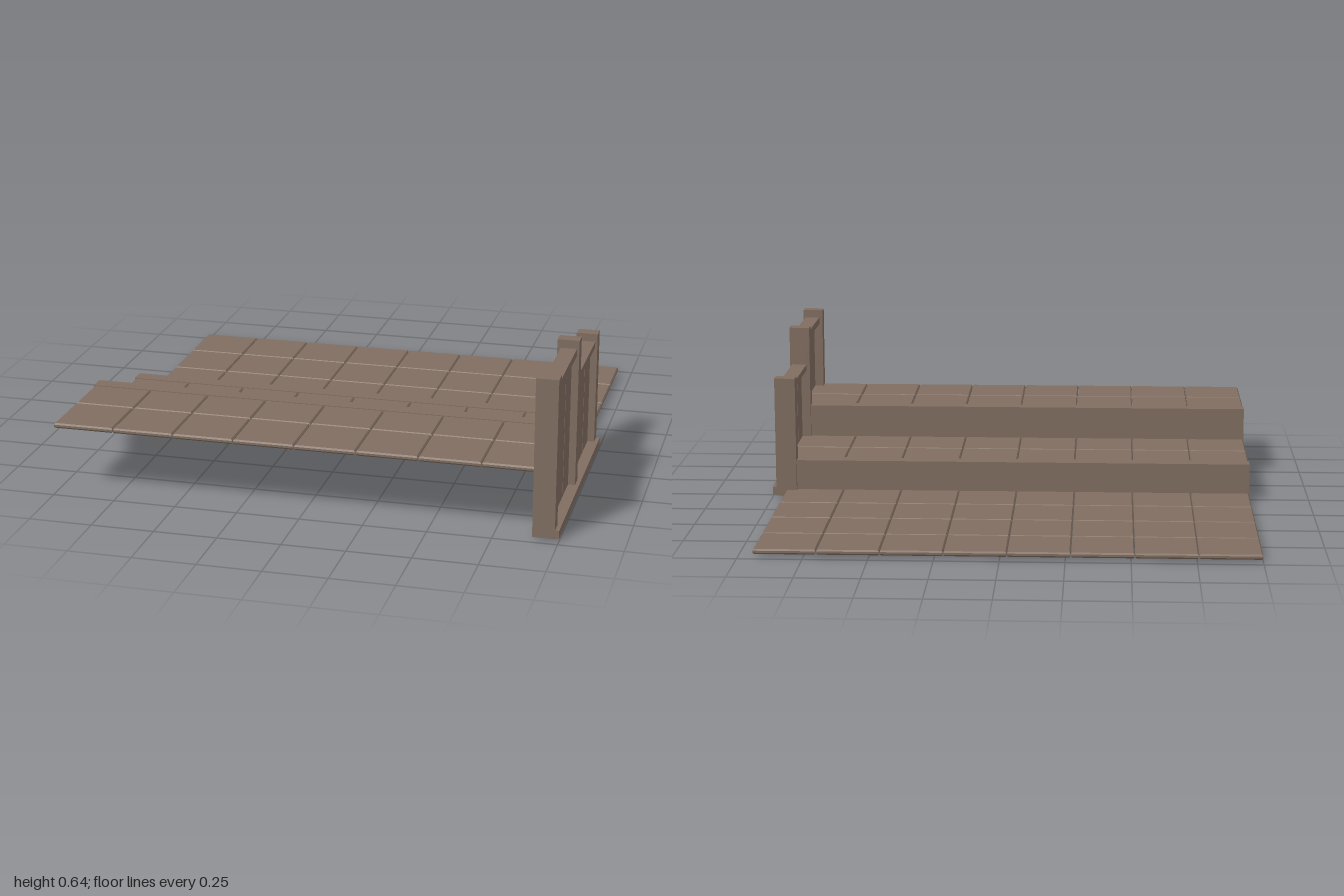
import * as THREE from 'three';

const wood = new THREE.MeshStandardMaterial({ color: 0x806d60 });
wood.name = 'brown wood';

// Box given by its min and max corners
function box(parent, name, x0, x1, y0, y1, z0, z1) {
  const mesh = new THREE.Mesh(new THREE.BoxGeometry(x1 - x0, y1 - y0, z1 - z0), wood);
  mesh.position.set((x0 + x1) / 2, (y0 + y1) / 2, (z0 + z1) / 2);
  mesh.name = name;
  parent.add(mesh);
}

// Floor tile with narrow chamfers above and below, leaving grooves between neighbours
function tileGeometry(w, h, d) {
  const inset = 0.005, chamfer = 0.006;
  const geo = new THREE.BoxGeometry(w, h, d, 1, 3, 1).toNonIndexed();
  const p = geo.attributes.position;
  for (let i = 0; i < p.count; i++) {
    const y = p.getY(i);
    if (Math.abs(y) > h * 0.4) {
      p.setX(i, p.getX(i) - Math.sign(p.getX(i)) * inset);
      p.setZ(i, p.getZ(i) - Math.sign(p.getZ(i)) * inset);
    } else {
      p.setY(i, Math.sign(y) * (h / 2 - chamfer));
    }
  }
  geo.computeVertexNormals();
  return geo;
}

const X0 = -1, X1 = 0.943, Z0 = -0.974, PITCH = 0.2429, THICK = 0.02;

export function createModel() {
  const model = new THREE.Group();
  model.name = 'steppedDeck';

  // Three tiled levels, rising toward the front
  const tile = tileGeometry(PITCH - 0.002, THICK, PITCH - 0.002);
  const levels = [
    { name: 'lowerFloor', rows: [0, 1, 2, 3], top: 0.031 },
    { name: 'middleFloor', rows: [4, 5], top: 0.154 },
    { name: 'upperFloor', rows: [6, 7], top: 0.288 },
  ];
  for (const { name, rows, top } of levels) {
    const floor = new THREE.Group();
    floor.name = name;
    for (const row of rows) {
      for (let col = 0; col < 8; col++) {
        const mesh = new THREE.Mesh(tile, wood);
        mesh.name = 'tile';
        mesh.position.set(X0 + (col + 0.5) * PITCH, top - THICK / 2, Z0 + (row + 0.5) * PITCH);
        floor.add(mesh);
      }
    }
    model.add(floor);
  }

  // Step edges: a tread strip on top of a thin riser
  for (const [z, bottom, top] of [[-0.025, 0, 0.157], [0.457, 0.13, 0.291]]) {
    const step = new THREE.Group();
    step.name = 'stepEdge';
    box(step, 'nosing', X0, X1, top - 0.025, top, z, z + 0.063);
    box(step, 'riser', X0, X1, bottom, top - 0.025, z + 0.004, z + 0.03);
    model.add(step);
  }

  // Side fence: posts, rails and upright boards
  const fence = new THREE.Group();
  fence.name = 'fence';
  for (const [z, top] of [[0.942, 0.638], [0.476, 0.638], [-0.011, 0.508]]) {
    box(fence, 'post', 0.898, 0.984, 0.008, top, z - 0.027, z + 0.027);
  }
  box(fence, 'bottomRail', 0.935, 1, 0.01, 0.043, -0.036, 0.968);
  for (const [z0, z1, y0, y1] of [[0.503, 0.915, 0.575, 0.605], [0.016, 0.449, 0.45, 0.476]]) {
    box(fence, 'topRail', 0.912, 0.975, y0, y1, z0, z1);
    const step = (z1 - z0 + 0.05) / 3, start = z0 - 0.025;
    for (let i = 0; i < 3; i++) {
      box(fence, 'board', 0.936, 0.956, 0.04, y0, start + i * step + 0.004, start + (i + 1) * step - 0.004);
    }
  }
  model.add(fence);

  return model;
}
